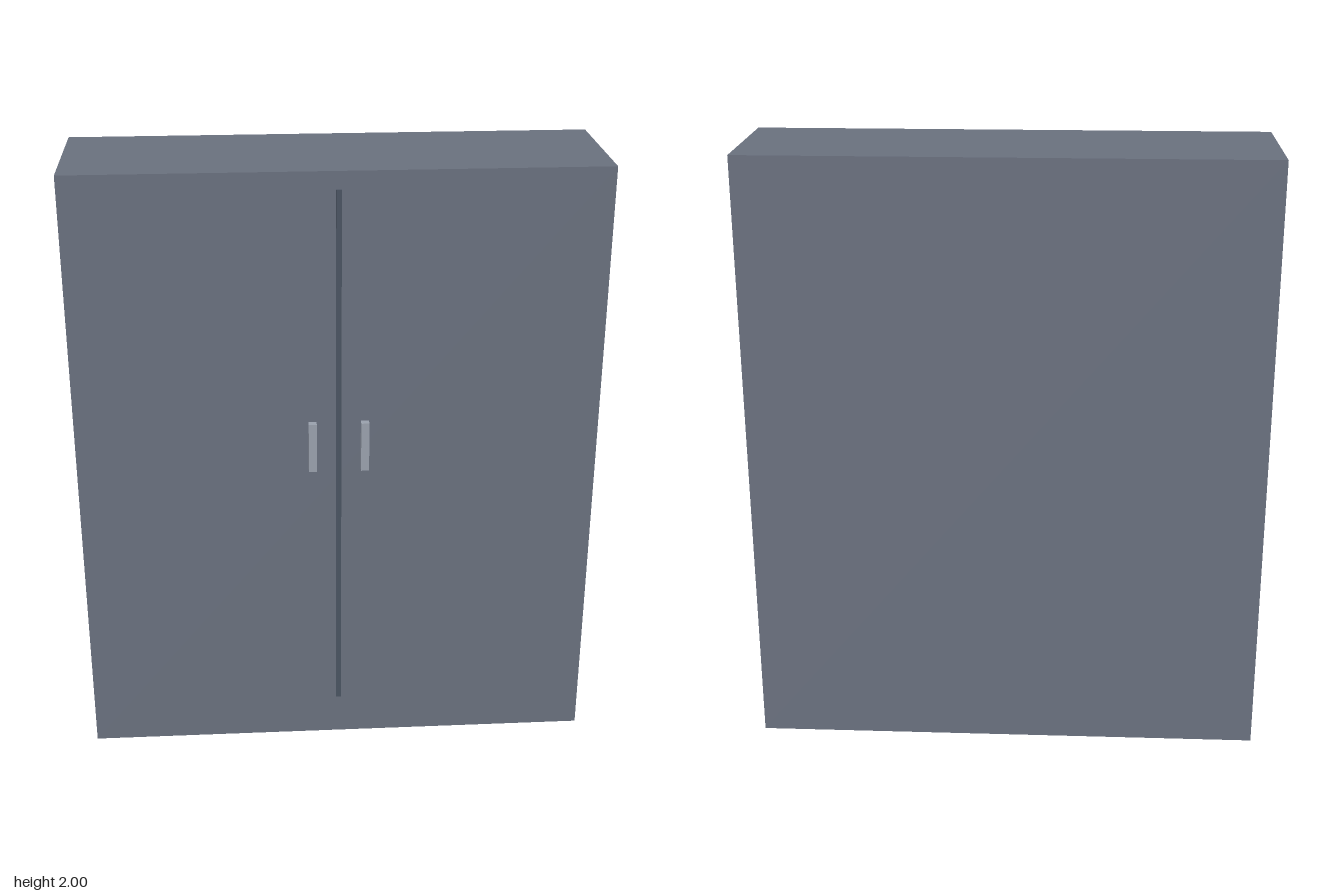
import * as THREE from 'three';

const BACK = -0.248, FRONT = 0.224;

// Box spanning z0..z1 and y0..y1, centred on x
function box(name, color, x, width, y0, y1, z0, z1) {
  const mesh = new THREE.Mesh(
    new THREE.BoxGeometry(width, y1 - y0, z1 - z0),
    new THREE.MeshStandardMaterial({ color })
  );
  mesh.name = name;
  mesh.position.set(x, (y0 + y1) / 2, (z0 + z1) / 2);
  return mesh;
}

export function createModel() {
  const cabinet = new THREE.Group();
  cabinet.name = 'cabinet';

  // Solid cabinet body
  cabinet.add(box('body', 0x6b7280, 0, 1.68, 0, 2, BACK, FRONT));

  // Raised strip where the two doors meet
  cabinet.add(box('doorSeam', 0x4b5563, 0, 0.017, 0.143, 1.943, FRONT - 0.005, FRONT + 0.006));

  // Door handles, mirrored about the seam
  for (const [name, side] of [['leftHandle', 1], ['rightHandle', -1]]) {
    cabinet.add(box(name, 0x9ca3af, side * 0.084, 0.026, 1.02, 1.186, FRONT - 0.003, 0.248));
  }
  return cabinet;
}
